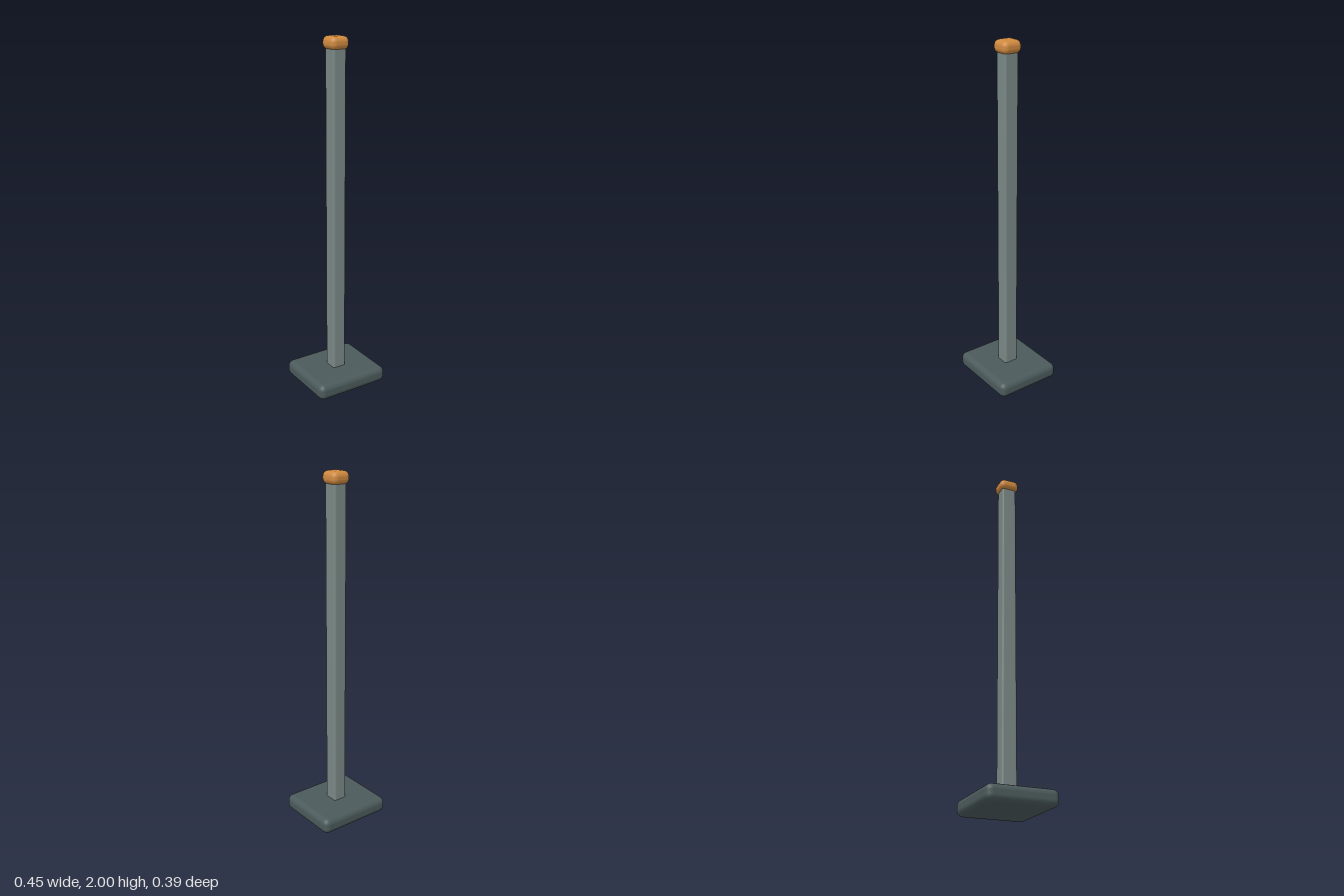
import * as THREE from 'three';
import { RoundedBoxGeometry } from 'three/addons/geometries/RoundedBoxGeometry.js';

// Rounded block spanning y0..y1, centred on the vertical axis
function block(name, width, depth, y0, y1, radius, segments, color) {
  const mesh = new THREE.Mesh(
    new RoundedBoxGeometry(width, y1 - y0, depth, segments, radius),
    new THREE.MeshStandardMaterial({ color })
  );
  mesh.position.y = (y0 + y1) / 2;
  mesh.name = name;
  return mesh;
}

export function createModel() {
  const group = new THREE.Group();
  group.name = 'post';
  group.add(
    // Heavy foot plate
    block('base', 0.446, 0.394, 0, 0.092, 0.035, 3, 0x4b5a5b),
    // Upright, sunk a little into the base and cap
    block('upright', 0.08, 0.086, 0.06, 1.96, 0.012, 3, 0x7a8885),
    // Coloured top cap
    block('cap', 0.112, 0.116, 1.93, 2, 0.03, 3, 0xd08a40)
  );
  return group;
}
